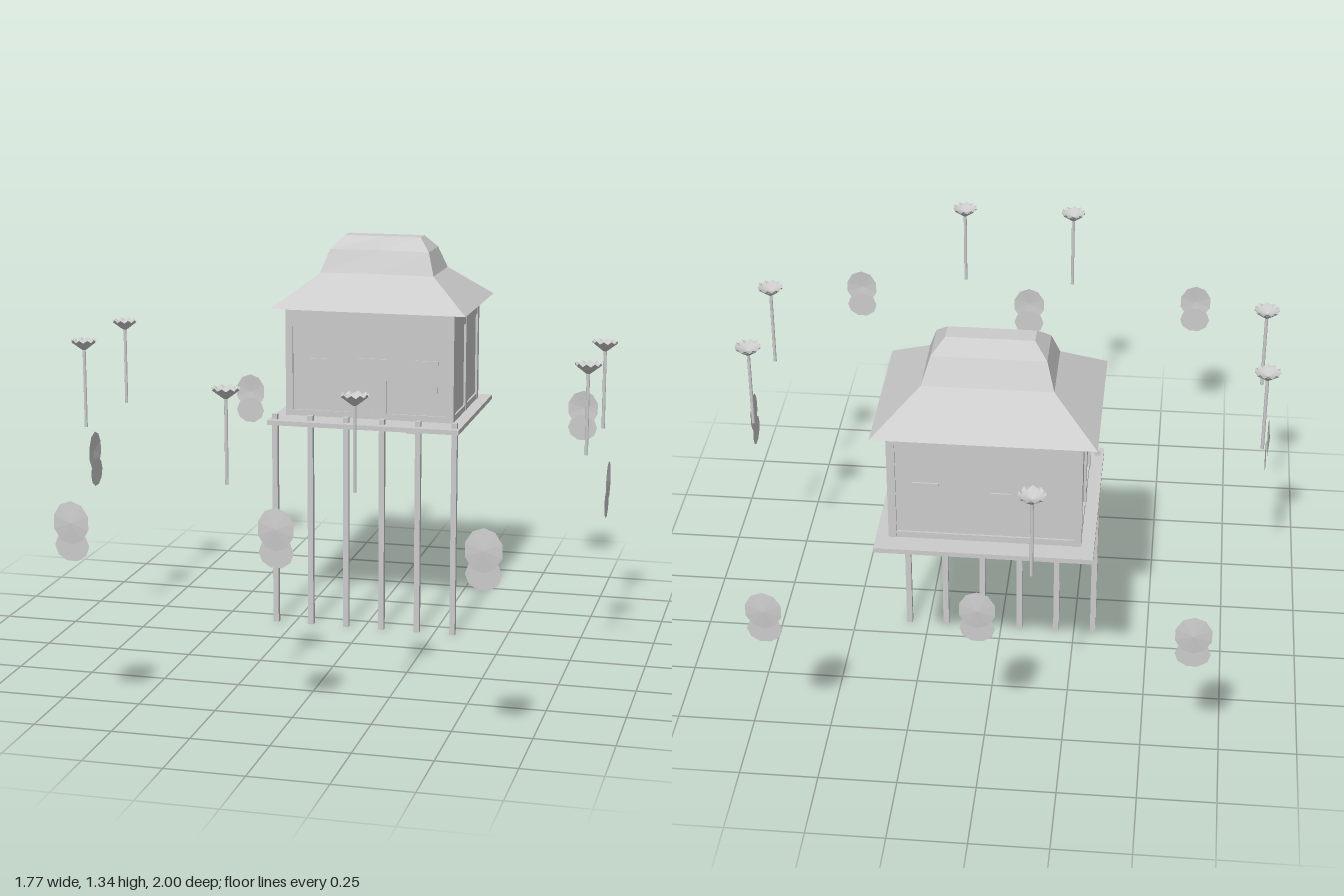
import * as THREE from 'three';

const grey = new THREE.MeshStandardMaterial({ color: 0xcccccc, flatShading: true });
const thin = new THREE.MeshStandardMaterial({ color: 0xcccccc, flatShading: true, side: THREE.DoubleSide });

function add(parent, name, geometry, x = 0, y = 0, z = 0, material = grey) {
  const mesh = new THREE.Mesh(geometry, material);
  mesh.name = name;
  mesh.position.set(x, y, z);
  parent.add(mesh);
  return mesh;
}

// Box given by its limits on each axis
function block(parent, name, [x0, x1], [y0, y1], [z0, z1]) {
  return add(parent, name, new THREE.BoxGeometry(x1 - x0, y1 - y0, z1 - z0),
    (x0 + x1) / 2, (y0 + y1) / 2, (z0 + z1) / 2);
}

// Flared hip roof: rings of [y, half width, front z, back z, dip of the front middle]
function roofGeometry() {
  const rows = [
    [1.104, 0.34, -0.216, -0.735, 0],
    [1.215, 0.2, -0.355, -0.595, 0.012],
    [1.292, 0.175, -0.393, -0.548, 0.015],
    [1.336, 0.135, -0.443, -0.505, 0],
  ];
  const pos = [], index = [], n = 6;
  for (const [y, w, f, b, dip] of rows) {
    pos.push(-w, y, f, 0, y, f - dip, w, y, f, w, y, b, 0, y, b, -w, y, b);
  }
  for (let r = 0; r < rows.length - 1; r++) {
    for (let i = 0; i < n; i++) {
      const a = r * n + i, b = r * n + (i + 1) % n;
      index.push(a, b, b + n, a, b + n, a + n);
    }
  }
  // Soffit and ridge cap
  const top = (rows.length - 1) * n;
  for (let i = 1; i < n - 1; i++) index.push(0, i + 1, i, top, top + i, top + i + 1);
  const g = new THREE.BufferGeometry();
  g.setAttribute('position', new THREE.Float32BufferAttribute(pos, 3));
  g.setIndex(index);
  const flat = g.toNonIndexed();
  flat.computeVertexNormals();
  return flat;
}

function createHouse() {
  const house = new THREE.Group();
  house.name = 'house';
  const W = 0.296, F = -0.248, B = -0.698, floor = 0.728, eave = 1.108, t = 0.008;
  block(house, 'walls', [-W + t, W - t], [floor, eave], [B + t, F - t]);

  // Corner posts and side middle posts
  for (const s of [-1, 1]) {
    for (const z of [F - 0.0125, B + 0.0125]) {
      block(house, 'cornerPost', [s * (W - 0.0125) - 0.0125, s * (W - 0.0125) + 0.0125],
        [floor, eave], [z - 0.0125, z + 0.0125]);
    }
    const zm = (F + B) / 2;
    block(house, 'sidePost', [s * (W - 0.01) - 0.01, s * (W - 0.01) + 0.01],
      [floor, eave], [zm - 0.0125, zm + 0.0125]);
  }

  // Sill and head rails on all four walls
  for (const [y0, y1] of [[floor, 0.75], [1.04, eave]]) {
    for (const z of [F - 0.006, B + 0.006]) {
      block(house, 'rail', [-W + 0.02, W - 0.02], [y0, y1], [z - 0.004, z + 0.004]);
    }
    for (const x of [-W + 0.006, W - 0.006]) {
      block(house, 'sideRail', [x - 0.004, x + 0.004], [y0, y1], [B + 0.02, F - 0.02]);
    }
  }

  // Door, shutter and narrow slots
  const face = [F - t - 0.002, F - 0.003];
  block(house, 'door', [-0.05, 0.06], [0.75, 0.94], face);
  block(house, 'shutter', [0.16, 0.24], [0.83, 0.94], face);
  block(house, 'slot', [-0.22, -0.15], [0.925, 0.932], face);
  const back = [B + 0.003, B + t + 0.002];
  block(house, 'backSlot', [0.14, 0.22], [0.925, 0.932], back);
  block(house, 'backSlot', [-0.08, -0.02], [0.9, 0.907], back);

  add(house, 'roof', roofGeometry(), 0, 0, 0, thin);
  return house;
}

// Slim pole with a fluted, dished bowl
function createTorch(x, z) {
  const torch = new THREE.Group();
  torch.name = 'torch';
  add(torch, 'pole', new THREE.CylinderGeometry(0.0055, 0.0055, 0.265, 8), 0, 0.8955, 0);
  const bowl = new THREE.CylinderGeometry(0.042, 0.007, 0.036, 20, 1, true);
  const p = bowl.attributes.position;
  for (let i = 0; i < p.count; i++) {
    if (p.getY(i) > 0 && i % 2) p.setY(i, p.getY(i) - 0.009);
  }
  add(torch, 'bowl', bowl, 0, 1.041, 0, thin);
  add(torch, 'bowlInside', new THREE.ConeGeometry(0.038, 0.014, 20, 1, true).rotateX(Math.PI), 0, 1.043, 0, thin);
  torch.position.set(x, 0, z);
  return torch;
}

// Two overlapping thin plates, facing outwards along angle
function createShield(x, z, angle) {
  const shield = new THREE.Group();
  shield.name = 'shield';
  const upper = new THREE.CircleGeometry(1, 10, Math.PI / 2).scale(0.057, 0.067, 1);
  upper.attributes.position.setZ(0, 0.006);
  add(shield, 'upperPlate', upper, 0, 0.645, 0, thin);
  const lower = new THREE.CircleGeometry(1, 10).scale(0.054, 0.049, 1);
  add(shield, 'lowerPlate', lower, 0, 0.573, -0.004, thin);
  shield.position.set(x, 0, z);
  shield.rotation.y = angle;
  return shield;
}

export function createModel() {
  const model = new THREE.Group();
  model.name = 'stiltHouse';

  block(model, 'platform', [-0.335, 0.335], [0.713, 0.729], [-0.762, -0.145]);
  for (let i = 0; i < 6; i++) {
    const x = -0.315 + i * 0.126;
    block(model, 'stilt', [x - 0.0095, x + 0.0095], [0, 0.747], [-0.1885, -0.1695]);
  }
  model.add(createHouse());

  // Torches around the house
  for (const [x, z] of [[-0.845, -0.15], [-0.845, 0.244], [0.82, -0.15], [0.82, 0.244],
    [-0.16, 0.88], [0.23, 0.88], [-0.16, -0.9]]) model.add(createTorch(x, z));

  // Shields on the outer border
  for (const [x, z, a] of [[0, 0.918, 0], [0.636, 0.993, 0], [-0.612, 0.993, 0],
    [0, -0.932, Math.PI], [0.636, -0.993, Math.PI], [-0.648, -0.993, Math.PI],
    [0.873, 0.095, Math.PI / 2], [-0.873, 0.095, -Math.PI / 2]]) model.add(createShield(x, z, a));

  return model;
}
